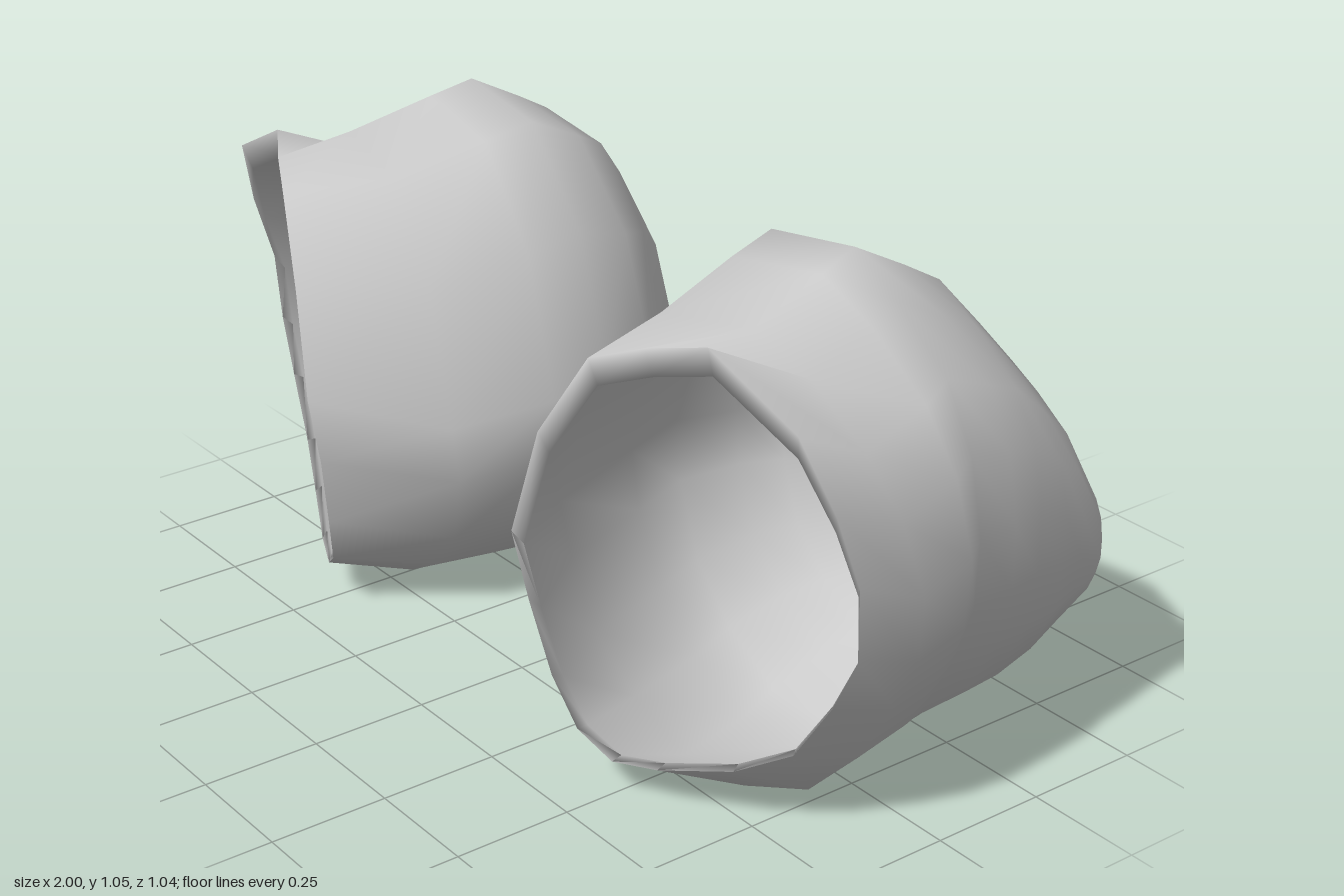
import * as THREE from 'three';
import { mergeVertices } from 'three/addons/utils/BufferGeometryUtils.js';

// Rim of the opening (x, y, z), from the inner side down, outward and up
const RIM = [
  [0.36, 0.55, 0.52], [0.37, 0.4, 0.49], [0.4, 0.24, 0.46], [0.44, 0.13, 0.43], [0.51, 0.08, 0.4],
  [0.6, 0.09, 0.36], [0.74, 0.13, 0.29], [0.85, 0.2, 0.24], [0.93, 0.33, 0.22], [0.985, 0.45, 0.21],
  [0.99, 0.6, 0.22], [0.98, 0.75, 0.27], [0.93, 0.9, 0.32], [0.72, 1.0, 0.35], [0.62, 0.98, 0.41],
  [0.52, 0.94, 0.46], [0.42, 0.77, 0.5],
];

// Widest outline of the body (x, y), in step with the rim
const OUTLINE = [
  [0.12, 0.52], [0.13, 0.38], [0.19, 0.21], [0.3, 0.09], [0.45, 0.005], [0.6, 0], [0.74, 0.04],
  [0.85, 0.16], [0.93, 0.3], [0.985, 0.43], [1, 0.58], [0.97, 0.74], [0.9, 0.87], [0.76, 0.98],
  [0.64, 1.055], [0.4, 1.02], [0.22, 0.82],
];

// Body sections: x range, y range, z, how far each follows the slant of the rim,
// and how full its lower outer corner is
const SECTIONS = [
  [0.19, 1.0, 0.0, 0.98, 0.17, 0.7, 0],
  [0.135, 0.985, 0.0, 1.03, 0.0, 0.4, 0],
  [0.12, 0.965, 0.025, 1.055, -0.08, 0.1, 0.1],
  [0.145, 0.95, 0.075, 0.99, -0.2, 0, 0.25],
  [0.195, 0.935, 0.11, 0.945, -0.28, 0, 0.35],
  [0.28, 0.915, 0.155, 0.84, -0.37, 0, 0.4],
  [0.37, 0.9, 0.2, 0.755, -0.435, 0, 0.4],
  [0.69, 0.89, 0.28, 0.56, -0.5, 0, 0.2],
];
const POLE = [0.82, 0.39, -0.52];
const WALL = 0.015;

// Fit the outline into one section, drawn in by the wall thickness
function sectionRing([x0, x1, y0, y1, z, tilt, fullness], inset) {
  const { mapLinear, clamp } = THREE.MathUtils;
  return OUTLINE.map(([x, y], j) => {
    let u = mapLinear(x, 0.12, 1, -1, 1);
    let v = mapLinear(y, 0, 1.055, -1, 1);
    const swell = u > 0 && v < 0 ? 1 - fullness * u * v : 1;
    u = clamp(u * swell, -1, 1);
    v = clamp(v * swell, -1, 1);
    return [
      mapLinear(u, -1, 1, x0 + inset, x1 - inset),
      mapLinear(v, -1, 1, y0 + inset, y1 - inset),
      z + inset + tilt * (RIM[j][2] - 0.36),
    ];
  });
}

function cupGeometry(side) {
  const n = RIM.length;
  const pole = (dz) => RIM.map(() => [POLE[0], POLE[1], POLE[2] + dz]);
  const lip = RIM.map(([x, y, z]) => [0.67 + (x - 0.67) * 0.94, 0.02 + y * 0.92, z - 0.015]);
  // One loft: inner pole, inner wall, lip, rim, outer wall, outer pole
  const rings = [
    pole(WALL),
    ...SECTIONS.map((s) => sectionRing(s, WALL)).reverse(),
    lip,
    RIM,
    ...SECTIONS.map((s) => sectionRing(s, 0)),
    pole(0),
  ];
  const positions = rings.flat().flatMap(([x, y, z]) => [side * x, y, z]);
  const index = [];
  const tri = (a, b, c) => index.push(...(side > 0 ? [a, b, c] : [a, c, b]));
  for (let i = 0; i < rings.length - 1; i++) {
    for (let j = 0; j < n; j++) {
      const k = (j + 1) % n;
      const a = i * n + j, b = i * n + k, c = a + n, d = b + n;
      if (i > 0) tri(a, c, b);
      if (i < rings.length - 2) tri(b, c, d);
    }
  }
  let geometry = new THREE.BufferGeometry();
  geometry.setAttribute('position', new THREE.Float32BufferAttribute(positions, 3));
  geometry.setIndex(index);
  geometry = mergeVertices(geometry, 1e-4);
  geometry.computeVertexNormals();
  return geometry;
}

export function createModel() {
  const model = new THREE.Group();
  model.name = 'cupPair';
  const material = new THREE.MeshStandardMaterial({ color: 0xcccccc, side: THREE.DoubleSide });
  for (const [name, side] of [['leftCup', 1], ['rightCup', -1]]) {
    const cup = new THREE.Mesh(cupGeometry(side), material);
    cup.name = name;
    model.add(cup);
  }
  return model;
}
